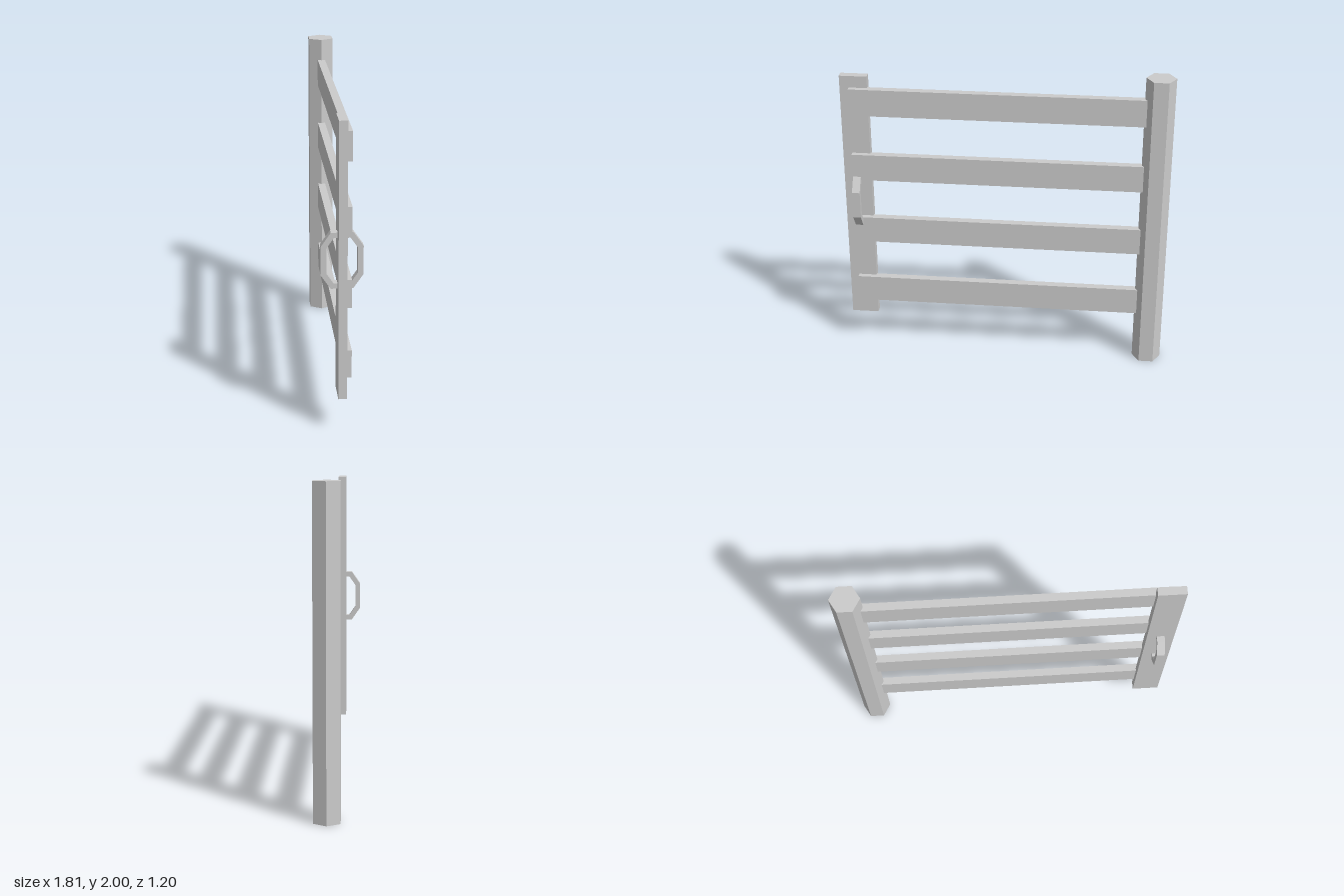
import * as THREE from 'three';

const material = new THREE.MeshStandardMaterial({ color: 0xcccccc, flatShading: true });

function add(parent, name, geometry, x, y, z) {
  const mesh = new THREE.Mesh(geometry, material);
  mesh.name = name;
  mesh.position.set(x, y, z);
  parent.add(mesh);
  return mesh;
}

// Faceted C-shaped pull: outer outline, then inner outline back
function handleGeometry(width) {
  const outer = [[0.02, -0.173], [0.066, -0.173], [0.125, -0.088], [0.125, 0.088], [0.066, 0.173], [0.02, 0.173]];
  const inner = [[0.02, 0.14], [0.049, 0.14], [0.092, 0.078], [0.092, -0.078], [0.049, -0.14], [0.02, -0.14]];
  const shape = new THREE.Shape([...outer, ...inner].map(([x, y]) => new THREE.Vector2(x, y)));
  const geometry = new THREE.ExtrudeGeometry(shape, { depth: width, bevelEnabled: false });
  return geometry.translate(0, 0, -width / 2);
}

export function createModel() {
  const model = new THREE.Group();
  model.name = 'gate';

  // Hexagonal hinge post
  add(model, 'post', new THREE.CylinderGeometry(0.093, 0.093, 2, 6), -0.825, 1, -0.505);

  // Gate leaf, swung open by 30 degrees
  const leaf = new THREE.Group();
  leaf.name = 'gateLeaf';
  leaf.rotation.y = -Math.PI / 6;
  model.add(leaf);

  // Four horizontal rails running from the post centre
  const start = -0.967, end = 0.971;
  for (let i = 0; i < 4; i++) {
    add(leaf, 'rail', new THREE.BoxGeometry(end - start, 0.177, 0.05), (start + end) / 2, 0.426 + i * 0.448, -0.025);
  }

  // Upright board at the free end
  const boardX = 0.942, boardZ = 0.009;
  add(leaf, 'endBoard', new THREE.BoxGeometry(0.175, 1.71, 0.052), boardX, 1.08, boardZ);

  // Pull handles on both faces of the board
  const handle = handleGeometry(0.05);
  for (const side of [1, -1]) {
    const mesh = add(leaf, side > 0 ? 'frontHandle' : 'backHandle', handle, boardX, 1.083, boardZ);
    mesh.rotation.y = -side * Math.PI / 2;
  }

  return model;
}
